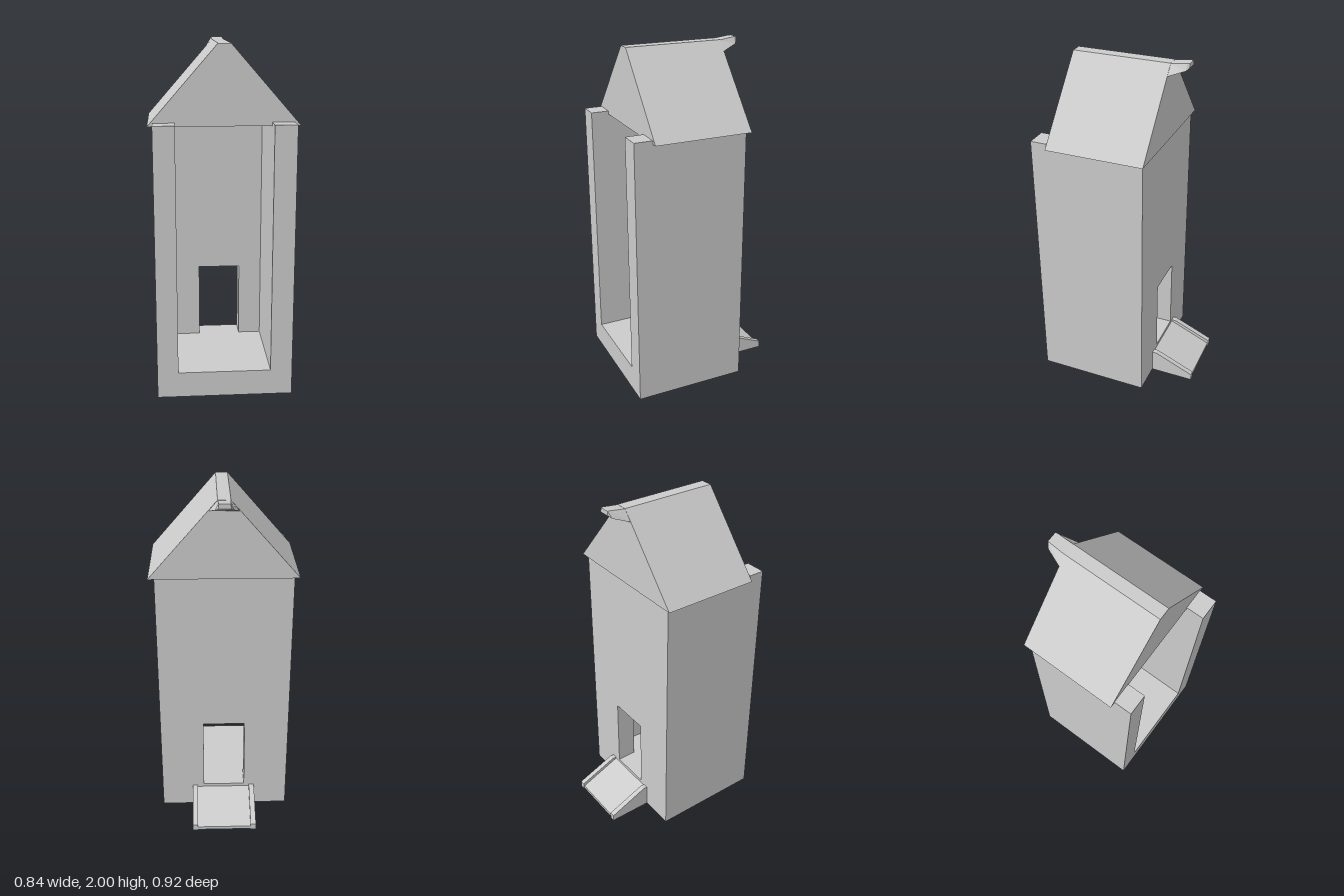
import * as THREE from 'three';

const material = new THREE.MeshStandardMaterial({ color: 0xcccccc });

function addMesh(parent, name, geometry) {
  const mesh = new THREE.Mesh(geometry, material);
  mesh.name = name;
  parent.add(mesh);
  return mesh;
}

// Box given by its lower and upper corners
function boxBetween(x0, y0, z0, x1, y1, z1) {
  return new THREE.BoxGeometry(x1 - x0, y1 - y0, z1 - z0)
    .translate((x0 + x1) / 2, (y0 + y1) / 2, (z0 + z1) / 2);
}

// Extrusion of an [x, y] outline from z0 to z1
function prism(points, z0, z1) {
  const shape = new THREE.Shape(points.map(([x, y]) => new THREE.Vector2(x, y)));
  return new THREE.ExtrudeGeometry(shape, { depth: z1 - z0, bevelEnabled: false })
    .translate(0, 0, z0);
}

// Flat-shaded solid joining four-cornered sections, capped at both ends
function loft(sections) {
  const positions = [];
  const quad = (a, b, c, d) => positions.push(...a, ...b, ...c, ...a, ...c, ...d);
  for (let s = 0; s < sections.length - 1; s++) {
    for (let i = 0; i < 4; i++) {
      const j = (i + 1) % 4;
      quad(sections[s][i], sections[s][j], sections[s + 1][j], sections[s + 1][i]);
    }
  }
  const [a, b, c, d] = sections[0];
  quad(d, c, b, a);
  quad(...sections[sections.length - 1]);
  const geometry = new THREE.BufferGeometry();
  geometry.setAttribute('position', new THREE.Float32BufferAttribute(positions, 3));
  geometry.computeVertexNormals();
  return geometry;
}

export function createModel() {
  const model = new THREE.Group();
  model.name = 'gabledTower';

  // Body: thick floor, two side walls and a back wall with a doorway
  const body = new THREE.Group();
  body.name = 'body';
  model.add(body);
  const floorY = 0.15, topY = 1.57, back = -0.2, front = 0.46;
  addMesh(body, 'floor', boxBetween(-0.39, 0, back, 0.385, floorY, front));
  addMesh(body, 'rightWall', boxBetween(-0.39, floorY, back, -0.27, topY, front));
  addMesh(body, 'leftWall', boxBetween(0.26, floorY, back, 0.385, topY, front));
  addMesh(body, 'backWall', prism([
    [-0.27, floorY], [-0.125, floorY], [-0.125, 0.6], [0.125, 0.6],
    [0.125, floorY], [0.26, floorY], [0.26, topY], [-0.27, topY],
  ], back, -0.08));

  // Gable roof with a narrow flat ridge
  const roof = new THREE.Group();
  roof.name = 'roof';
  model.add(roof);
  addMesh(roof, 'gable', prism(
    [[-0.42, 1.55], [0.42, 1.55], [0.035, 1.99], [-0.035, 1.99]], -0.215, 0.355));

  // Ridge beak tapering out over the doorway
  const beakSection = (z, bottom, top, y0, y1) =>
    [[bottom, y0, z], [-bottom, y0, z], [-top, y1, z], [top, y1, z]];
  addMesh(roof, 'ridgeBeak', loft([
    beakSection(-0.21, 0.084, 0.035, 1.93, 1.988),
    beakSection(-0.305, 0.05, 0.032, 1.963, 2),
    beakSection(-0.32, 0.034, 0.03, 1.975, 2),
  ]));

  // Ramp: two sloping rails with a thin deck between them
  const ramp = new THREE.Group();
  ramp.name = 'ramp';
  model.add(ramp);
  const railProfile = [[0.2, 0], [0.46, 0], [0.46, 0.04], [0.225, 0.14], [0.2, 0.14]];
  for (const [name, x0, x1] of [['rightRail', -0.188, -0.156], ['leftRail', 0.166, 0.197]]) {
    addMesh(ramp, name, prism(railProfile, x0, x1).rotateY(Math.PI / 2));
  }
  const deckWidth = 0.322, run = 0.255, drop = 0.11;
  const deck = addMesh(ramp, 'deck', new THREE.PlaneGeometry(deckWidth, Math.hypot(run, drop)));
  deck.rotation.x = -Math.PI / 2 + Math.atan2(drop, run) * -1;
  deck.position.set(0.005, 0.075, -0.2 - run / 2);
  const lip = addMesh(ramp, 'deckLip', new THREE.PlaneGeometry(deckWidth, 0.02));
  lip.rotation.y = Math.PI;
  lip.position.set(0.005, 0.01, -0.2 - run);

  return model;
}
